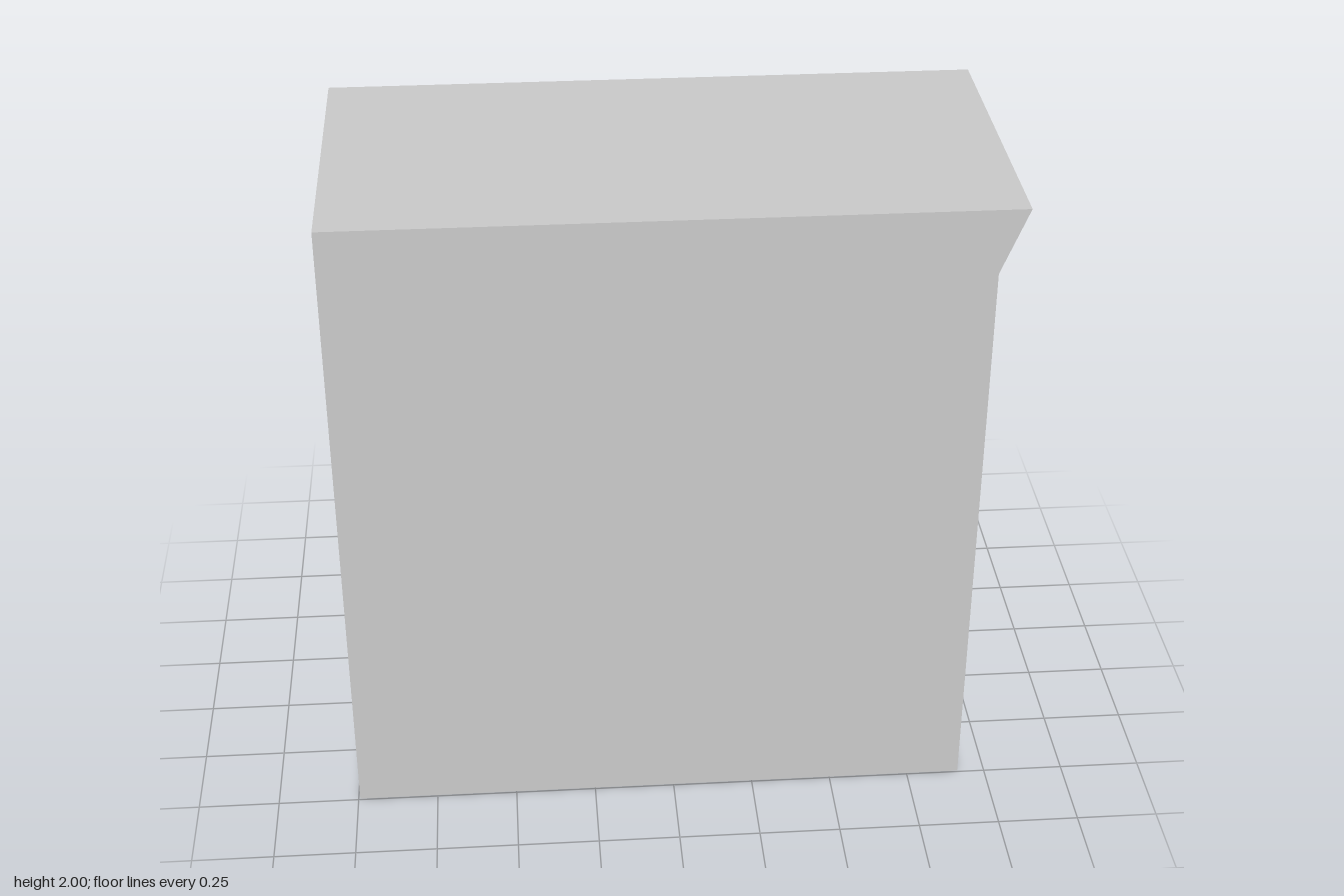
import * as THREE from 'three';

const HALF_Z = 0.495;   // half the width of the house
const BACK_X = 0.895;   // plane of the recessed panes
const WALL_X = 0.915;   // plane of the facade
const WINDOW = { w: 0.348, h: 0.47 };
// pane openings relative to a window's lower left corner: [x0, x1] and [y0, y1]
const PANE_X = [[0.024, 0.172], [0.186, 0.322]];
const PANE_Y = [[0.02, 0.309], [0.325, 0.45]];

const material = new THREE.MeshStandardMaterial({ color: 0xcccccc, flatShading: true });

// rectangle with slightly clipped corners, added to a shape or path
function rect(path, x0, y0, x1, y1, c = 0) {
  const pts = c
    ? [[x0 + c, y0], [x1 - c, y0], [x1, y0 + c], [x1, y1 - c], [x1 - c, y1], [x0 + c, y1], [x0, y1 - c], [x0, y0 + c]]
    : [[x0, y0], [x1, y0], [x1, y1], [x0, y1]];
  path.setFromPoints(pts.map(([x, y]) => new THREE.Vector2(x, y)));
  return path;
}

function cutPanes(shape, x, y) {
  for (const [x0, x1] of PANE_X)
    for (const [y0, y1] of PANE_Y)
      shape.holes.push(rect(new THREE.Path(), x + x0, y + y0, x + x1, y + y1, 0.004));
}

// extrude a street-side drawing (right = -z, up = y) outward along +x
function facing(name, shape, fromX, toX) {
  const geo = new THREE.ExtrudeGeometry(shape, { depth: toX - fromX, bevelEnabled: false });
  geo.rotateY(Math.PI / 2).translate(fromX, 0, 0);
  const mesh = new THREE.Mesh(geo, material);
  mesh.name = name;
  return mesh;
}

export function createModel() {
  const house = new THREE.Group();
  house.name = 'townHouse';

  // main block with the slanted cornice over the street side
  const profile = new THREE.Shape([
    [-0.995, 0], [BACK_X, 0], [BACK_X, 1.8], [WALL_X, 1.8], [0.995, 2], [-0.995, 2],
  ].map(([x, y]) => new THREE.Vector2(x, y)));
  const bodyGeo = new THREE.ExtrudeGeometry(profile, { depth: 2 * HALF_Z, bevelEnabled: false });
  bodyGeo.translate(0, 0, -HALF_Z);
  const body = new THREE.Mesh(bodyGeo, material);
  body.name = 'bodyAndCornice';
  house.add(body);

  // facade layer with openings, and a raised frame around each window
  const facade = rect(new THREE.Shape(), -HALF_Z, 0, HALF_Z, 1.8);
  for (const x of [-0.388, 0.05]) {
    for (const y of [0.617, 1.205]) {
      cutPanes(facade, x, y);
      const frame = rect(new THREE.Shape(), x, y, x + WINDOW.w, y + WINDOW.h);
      cutPanes(frame, x, y);
      house.add(facing('windowFrame', frame, WALL_X, 0.927));
    }
  }
  house.add(facing('facade', facade, BACK_X, WALL_X));

  // door frame and the thicker door leaf
  house.add(facing('doorFrame', rect(new THREE.Shape(), 0.05, 0, 0.398, 0.512), WALL_X, 0.927));
  house.add(facing('door', rect(new THREE.Shape(), 0.066, 0, 0.394, 0.523), WALL_X, 0.947));

  return house;
}
